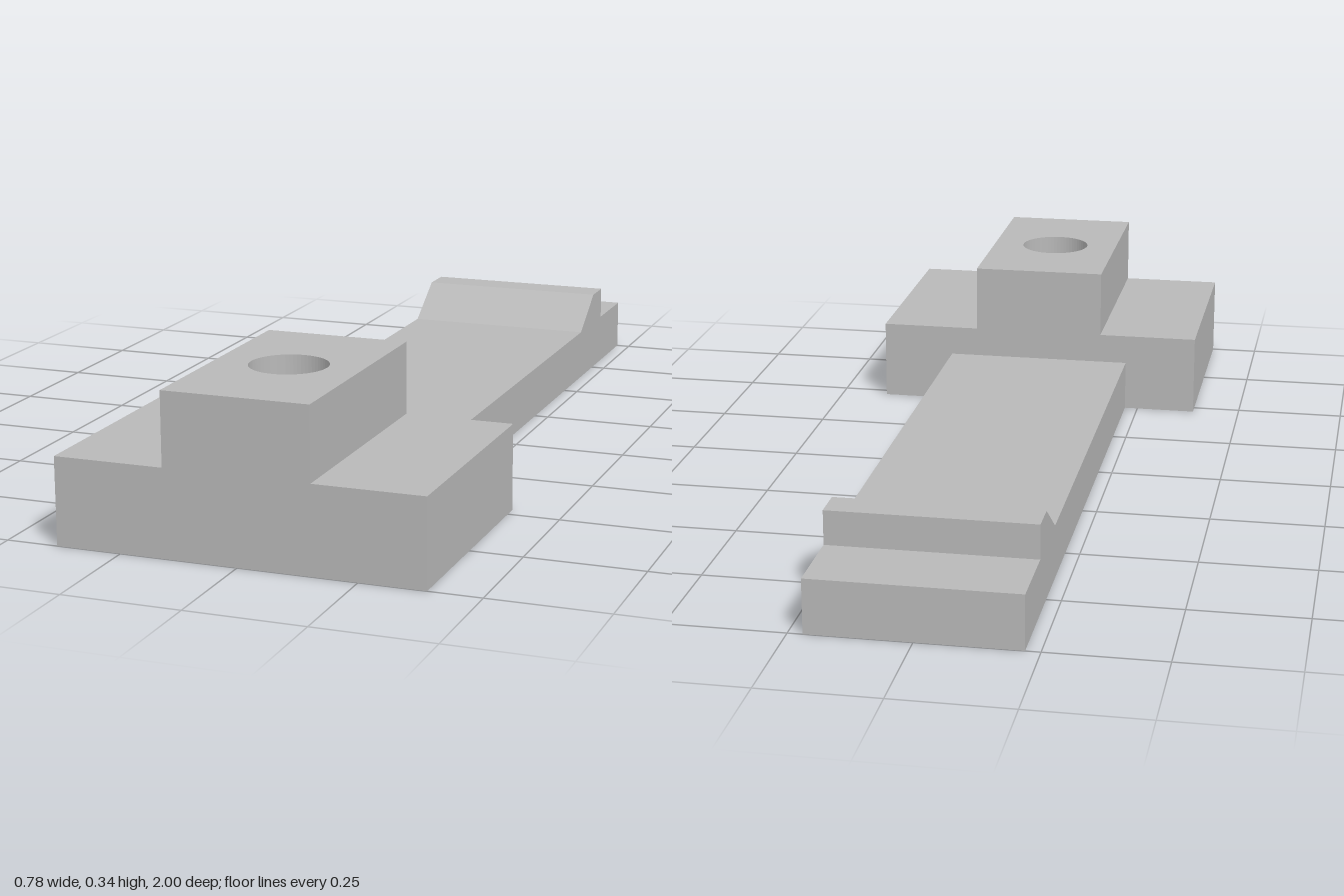
import * as THREE from 'three';

const HOLE_Z = 0.73, HOLE_R = 0.082;

// Upright block with a round vertical hole through it
function drilledBlock(halfWidth, zBack, zFront, y0, y1) {
  const shape = new THREE.Shape([
    new THREE.Vector2(-halfWidth, -zFront),
    new THREE.Vector2(halfWidth, -zFront),
    new THREE.Vector2(halfWidth, -zBack),
    new THREE.Vector2(-halfWidth, -zBack),
  ]);
  const hole = new THREE.Path();
  hole.absarc(0, -HOLE_Z, HOLE_R, 0, Math.PI * 2, true);
  shape.holes.push(hole);
  const geo = new THREE.ExtrudeGeometry(shape, { depth: y1 - y0, bevelEnabled: false, curveSegments: 32 });
  return geo.rotateX(-Math.PI / 2).translate(0, y0, 0);
}

// Side profile (z, y) extruded across the width
function tongueGeometry(halfWidth) {
  const profile = [
    [-1, 0], [0.47, 0], [0.47, 0.117], [-0.64, 0.117],
    [-0.75, 0.191], [-0.825, 0.191], [-0.825, 0.117], [-1, 0.117],
  ].map(([z, y]) => new THREE.Vector2(z, y));
  const geo = new THREE.ExtrudeGeometry(new THREE.Shape(profile), { depth: halfWidth * 2, bevelEnabled: false });
  return geo.rotateY(-Math.PI / 2).translate(halfWidth, 0, 0);
}

export function createModel() {
  const group = new THREE.Group();
  group.name = 'latchClip';
  const grey = new THREE.MeshStandardMaterial({ color: 0xb8b8b8 });
  grey.name = 'grey';

  const add = (name, geo) => {
    const mesh = new THREE.Mesh(geo, grey);
    mesh.name = name;
    group.add(mesh);
  };

  // Wide mounting block, its raised centre, and the long tongue with a ramped catch
  add('mountBase', drilledBlock(0.389, 0.47, 1, 0, 0.186));
  add('mountRaisedCentre', drilledBlock(0.155, 0.47, 1, 0.186, 0.341));
  add('catchTongue', tongueGeometry(0.219));
  return group;
}
